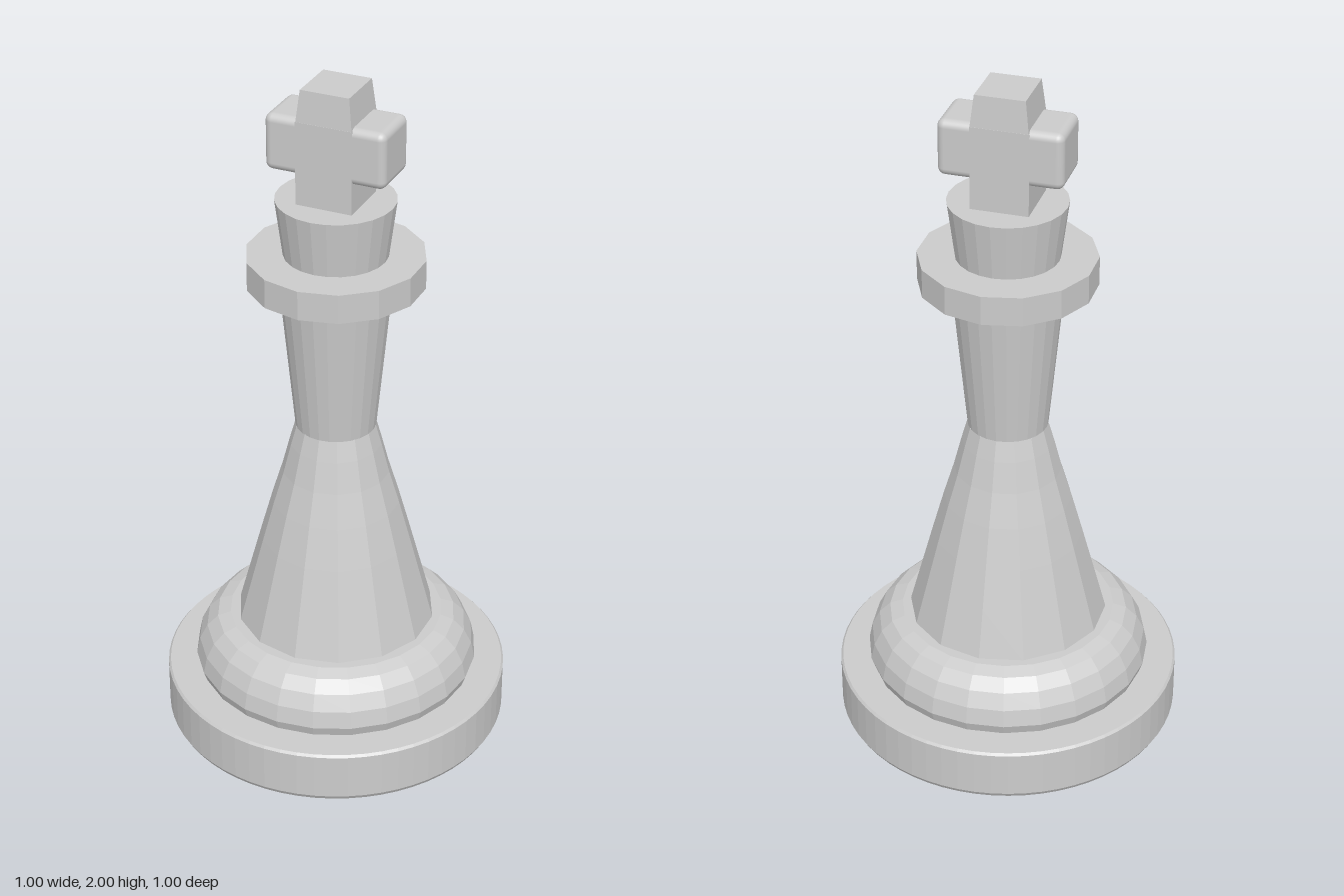
import * as THREE from 'three';
import { RoundedBoxGeometry } from 'three/addons/geometries/RoundedBoxGeometry.js';

const faceted = new THREE.MeshStandardMaterial({ color: 0xcccccc, flatShading: true });
const smooth = new THREE.MeshStandardMaterial({ color: 0xcccccc });

export function createModel() {
  const group = new THREE.Group();
  const add = (name, geometry, material, y = 0) => {
    const mesh = new THREE.Mesh(geometry, material);
    mesh.name = name;
    mesh.position.y = y;
    group.add(mesh);
    return mesh;
  };
  // Turned part from [radius, height] pairs, bottom to top
  const turned = (name, points, sides) =>
    add(name, new THREE.LatheGeometry(points.map(([r, y]) => new THREE.Vector2(r, y)), sides), faceted);

  // Round foot with softened rims
  turned('base', [[0, 0], [0.475, 0], [0.492, 0.006], [0.5, 0.02], [0.5, 0.158], [0.494, 0.165], [0, 0.165]], 64);

  // Cushion ring above the foot
  turned('baseRing', [[0, 0.16], [0.405, 0.165], [0.415, 0.195], [0.405, 0.245], [0.382, 0.29],
    [0.35, 0.322], [0.312, 0.335], [0, 0.335]], 24);

  // Flared skirt, gently bulging
  turned('body', [[0.29, 0.33], [0.25, 0.48], [0.218, 0.6], [0.185, 0.72], [0.155, 0.82],
    [0.132, 0.91], [0.115, 0.97]], 14);

  // Neck widening upward, collar and crown
  turned('neck', [[0.115, 0.97], [0.158, 1.42]], 24);
  turned('collar', [[0, 1.42], [0.25, 1.42], [0.25, 1.505], [0, 1.505]], 14);
  turned('crown', [[0.145, 1.5], [0.167, 1.67], [0, 1.67]], 24);

  // Cross: stem, rounded arms and tapered tip
  add('crossStem', new THREE.BoxGeometry(0.164, 0.25, 0.164), smooth, 1.785);
  add('crossArms', new RoundedBoxGeometry(0.35, 0.162, 0.164, 3, 0.022), smooth, 1.836);
  const tip = new THREE.BoxGeometry(0.164, 0.1, 0.164);
  const p = tip.attributes.position;
  for (let i = 0; i < p.count; i++) {
    if (p.getY(i) > 0) p.setXYZ(i, p.getX(i) * 0.86, p.getY(i), p.getZ(i) * 0.9);
  }
  tip.computeVertexNormals();
  add('crossTip', tip, smooth, 1.95);

  return group;
}
